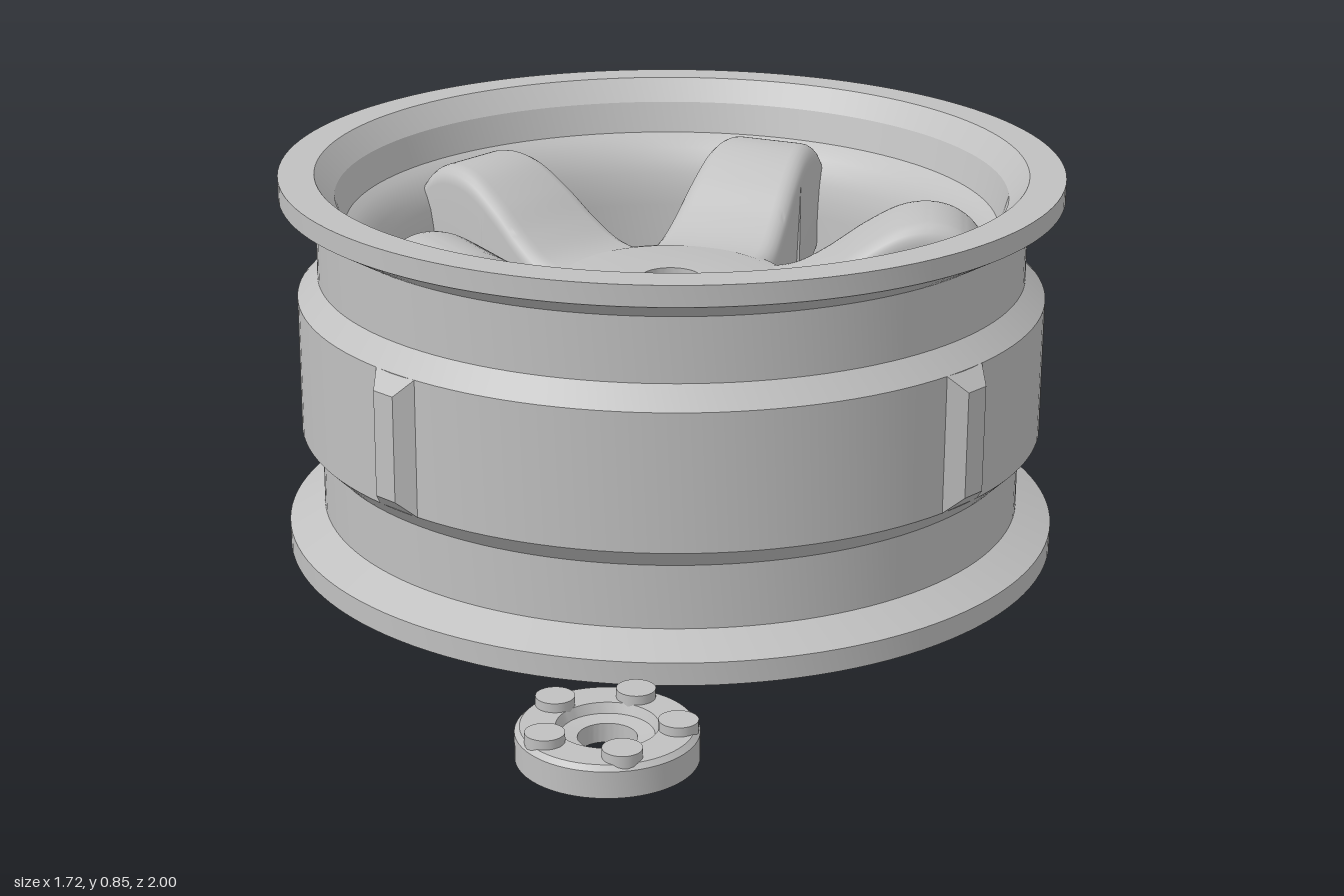
import * as THREE from 'three';
import { toCreasedNormals } from 'three/addons/utils/BufferGeometryUtils.js';

const metal = new THREE.MeshStandardMaterial({ color: 0xc0c0c0 });
metal.name = 'grey metal';

function part(name, geometry, parent) {
  const mesh = new THREE.Mesh(geometry, metal);
  mesh.name = name;
  parent.add(mesh);
  return mesh;
}

// Closed profile: up the outside, down the inside
function turned(profile, segments = 96, crease = 0.4) {
  const points = profile.map(([r, y]) => new THREE.Vector2(r, y));
  return toCreasedNormals(new THREE.LatheGeometry(points, segments), crease);
}

// Arched spoke along +x, lofted through sections with rounded top edges
function spokeGeometry() {
  const crest = new THREE.SplineCurve([
    [0.1, 0.587], [0.2, 0.588], [0.27, 0.6], [0.34, 0.64], [0.42, 0.7],
    [0.5, 0.747], [0.57, 0.76], [0.63, 0.745], [0.675, 0.705], [0.7, 0.65],
  ].map(([x, y]) => new THREE.Vector2(x, y))).getPoints(60);
  const positions = [];
  const index = [];
  const round = 0.04;
  const steps = 5;
  const ring = 2 * (steps + 1) + 2;
  for (const { x, y: top } of crest) {
    const half = THREE.MathUtils.mapLinear(Math.max(x, 0.25), 0.25, 0.7, 0.148, 0.105);
    const foot = x < 0.47;
    const bottom = foot ? 0 : THREE.MathUtils.mapLinear(x, 0.47, 0.7, 0.42, 0.54);
    const base = foot ? half * 0.82 : half;
    positions.push(x, bottom, -base);
    for (const side of [-1, 1]) {
      for (let k = 0; k <= steps; k++) {
        const a = (side < 0 ? k : steps - k) / steps * Math.PI / 2;
        positions.push(x, top - round + round * Math.sin(a), side * (half - round + round * Math.cos(a)));
      }
    }
    positions.push(x, bottom, base);
  }
  for (let i = 0; i < crest.length - 1; i++) {
    for (let j = 0; j < ring; j++) {
      const a = i * ring + j;
      const b = i * ring + (j + 1) % ring;
      index.push(a, b, a + ring, b, b + ring, a + ring);
    }
  }
  // Outer end
  const last = (crest.length - 1) * ring;
  for (let j = 1; j < ring - 1; j++) index.push(last, last + j, last + j + 1);
  const geometry = new THREE.BufferGeometry();
  geometry.setAttribute('position', new THREE.Float32BufferAttribute(positions, 3));
  geometry.setIndex(index);
  return toCreasedNormals(geometry, 0.6);
}

// Block whose outer face is smaller than its base
function ribGeometry() {
  const geometry = new THREE.BoxGeometry(0.115, 0.3, 0.035);
  const p = geometry.attributes.position;
  for (let i = 0; i < p.count; i++) {
    if (p.getZ(i) > 0) p.setXY(i, p.getX(i) * 0.5, p.getY(i) * 0.77);
  }
  geometry.translate(0, 0.425, 0.841);
  return toCreasedNormals(geometry, 0.2);
}

export function createModel() {
  const model = new THREE.Group();

  const wheel = new THREE.Group();
  wheel.name = 'wheel';
  wheel.position.z = -0.141;
  model.add(wheel);

  // Barrel with both flanges, raised middle band and hollow inside
  part('rimBarrel', turned([
    [0.78, 0], [0.859, 0], [0.859, 0.05], [0.78, 0.09], [0.78, 0.23],
    [0.825, 0.275], [0.825, 0.575], [0.78, 0.62], [0.78, 0.76], [0.859, 0.805],
    [0.859, 0.85], [0.78, 0.85], [0.737, 0.8], [0.717, 0.73],
    [0.7, 0.718], [0.682, 0.7], [0.665, 0.675], [0.652, 0.645], [0.644, 0.61], [0.638, 0.57],
    [0.638, 0.14], [0.78, 0],
  ], 128), wheel);

  // Ribs around the band
  const ribShape = ribGeometry();
  for (let k = 0; k < 4; k++) {
    part('bandRib', ribShape, wheel).rotation.y = -0.035 + k * Math.PI / 2;
  }

  // Hub with a blind centre hole
  part('hub', turned([
    [0, 0], [0.275, 0], [0.285, 0.54], [0.279, 0.566], [0.264, 0.584],
    [0.235, 0.592], [0.066, 0.592], [0.066, 0.5], [0, 0.5],
  ], 64), wheel);

  // Five spokes
  const spokeShape = spokeGeometry();
  for (let k = 0; k < 5; k++) {
    part('spoke', spokeShape, wheel).rotation.y = Math.PI + k * Math.PI * 2 / 5;
  }

  // Loose centre cap with bolt heads
  const cap = new THREE.Group();
  cap.name = 'centreCap';
  cap.position.set(0.68, 0, 0.821);
  model.add(cap);
  part('capRing', turned([
    [0.058, 0], [0.179, 0], [0.179, 0.055], [0.169, 0.065], [0.1, 0.065],
    [0.092, 0.045], [0.058, 0.04], [0.058, 0],
  ], 64), cap);
  const boltShape = new THREE.CylinderGeometry(0.039, 0.039, 0.045, 24);
  for (let k = 0; k < 5; k++) {
    const a = Math.PI + k * Math.PI * 2 / 5;
    part('boltHead', boltShape, cap).position.set(0.137 * Math.cos(a), 0.0615, 0.137 * Math.sin(a));
  }

  return model;
}
